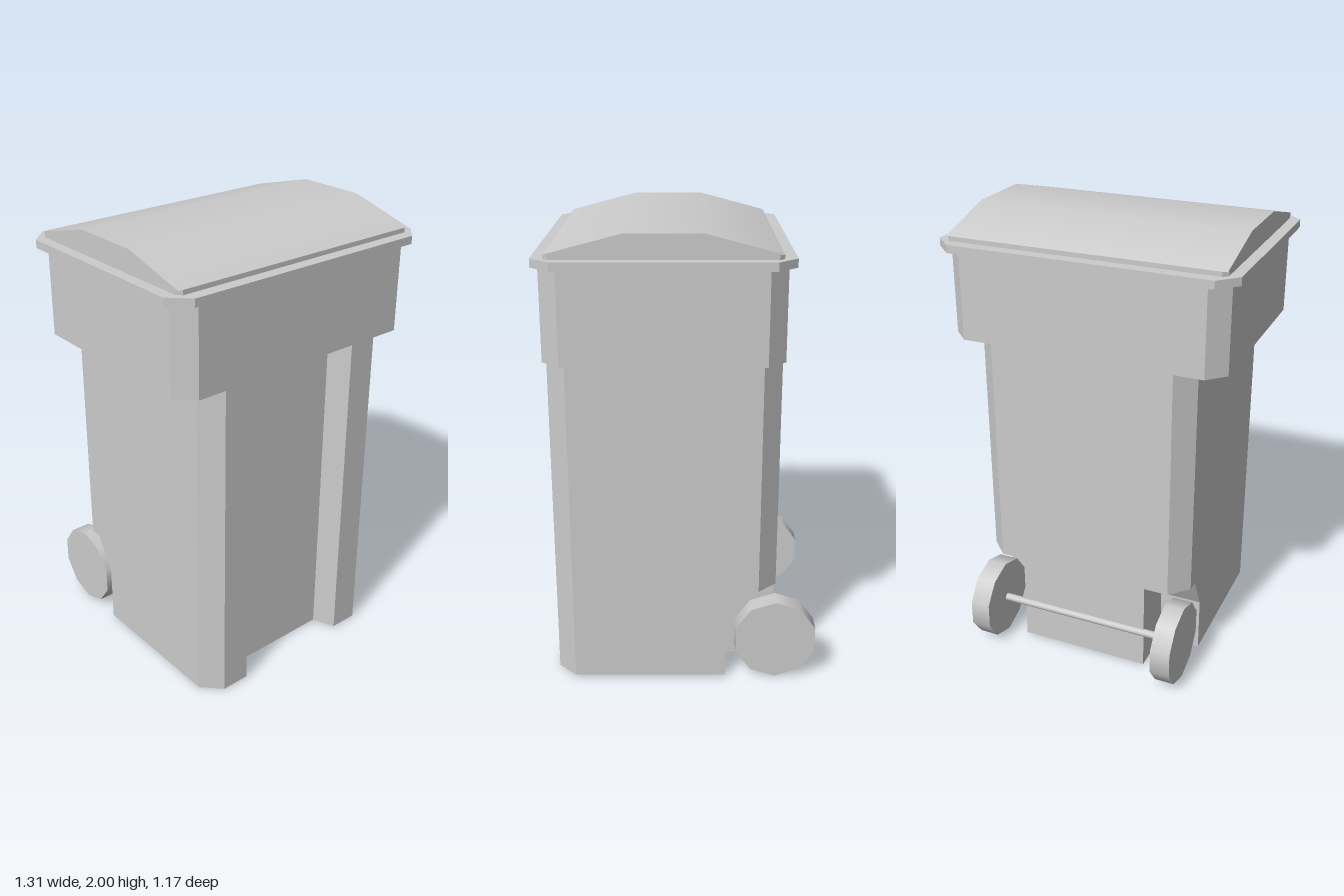
import * as THREE from 'three';
import { mergeGeometries } from 'three/addons/utils/BufferGeometryUtils.js';

const solid = new THREE.MeshStandardMaterial({ color: 0xcccccc });
const sheet = new THREE.MeshStandardMaterial({ color: 0xcccccc, side: THREE.DoubleSide });

const BOTTOM = 0.005, LEDGE = 1.48, RIM = 1.865;
const FRONT = 0.56, BACK = -0.41, CUT = 0.08;

// Flat polygon from 3D corner points, triangulated on its widest plane
function panel(points) {
  const v = points.map(p => new THREE.Vector3(...p));
  const n = new THREE.Vector3();
  v.forEach((a, i) => n.add(a.clone().cross(v[(i + 1) % v.length])));
  const m = n.toArray().map(Math.abs);
  const drop = m.indexOf(Math.max(...m));
  const flat = points.map(p => new THREE.Vector2(...p.filter((_, i) => i !== drop)));
  const corners = THREE.ShapeUtils.triangulateShape(flat, []).flat().map(i => v[i]);
  const g = new THREE.BufferGeometry().setFromPoints(corners);
  g.computeVertexNormals();
  return g;
}

// Upright wall between two plan points [x, z]
const wall = (a, b, y0, y1) =>
  panel([[a[0], y0, a[1]], [b[0], y0, b[1]], [b[0], y1, b[1]], [a[0], y1, a[1]]]);

// Plan of a rectangle with cut corners
const cutRect = (x, z0, z1, c) => [
  [x - c, z1], [x, z1 - c], [x, z0 + c], [x - c, z0],
  [-x + c, z0], [-x, z0 + c], [-x, z1 - c], [-x + c, z1],
];

// Solid slab from a plan
function slab(plan, y0, y1) {
  const shape = new THREE.Shape(plan.map(([x, z]) => new THREE.Vector2(x, -z)));
  const g = new THREE.ExtrudeGeometry(shape, { depth: y1 - y0, bevelEnabled: false });
  return g.rotateX(-Math.PI / 2).translate(0, y0, 0);
}

function add(group, name, geometry, material = solid) {
  const mesh = new THREE.Mesh(geometry, material);
  mesh.name = name;
  group.add(mesh);
  return mesh;
}

// Hollow lower body: front groove, cut corners and wheel notches at the back
function lowerBody() {
  const x = 0.49, xi = x - CUT, nx = 0.3, ny = 0.425;
  const notch = [[-0.19, BOTTOM], [-0.19, 0.26], [-0.275, ny]];
  const parts = [wall([-0.24, 0.46], [0.24, 0.46], BOTTOM, LEDGE)];
  for (const s of [1, -1]) {
    parts.push(
      wall([s * 0.24, 0.46], [s * 0.28, FRONT], BOTTOM, LEDGE),
      wall([s * 0.28, FRONT], [s * xi, FRONT], BOTTOM, LEDGE),
      wall([s * xi, FRONT], [s * x, FRONT - CUT], BOTTOM, LEDGE),
      wall([s * x, BACK + CUT], [s * xi, BACK], ny, LEDGE),
      // side wall following the notch
      panel([[FRONT - CUT, BOTTOM], ...notch, [BACK + CUT, ny], [BACK + CUT, LEDGE], [FRONT - CUT, LEDGE]]
        .map(([z, y]) => [s * x, y, z])),
      // inner side of the notch
      panel([...notch, [BACK, ny], [BACK, BOTTOM]].map(([z, y]) => [s * nx, y, z])),
      // roof of the notch
      panel([[nx, -0.275], [x, -0.275], [x, BACK + CUT], [xi, BACK], [nx, BACK]]
        .map(([px, z]) => [s * px, ny, z])),
    );
    // front faces of the notch
    for (let i = 0; i < 2; i++) {
      const [[z0, y0], [z1, y1]] = [notch[i], notch[i + 1]];
      parts.push(panel([[s * nx, y0, z0], [s * x, y0, z0], [s * x, y1, z1], [s * nx, y1, z1]]));
    }
  }
  parts.push(panel([[-nx, BOTTOM], [nx, BOTTOM], [nx, ny], [xi, ny], [xi, LEDGE], [-xi, LEDGE], [-xi, ny], [-nx, ny]]
    .map(([px, y]) => [px, y, BACK])));
  return mergeGeometries(parts);
}

// Wider upper body with ledges beneath
function upperBody() {
  const x = 0.615, c = 0.075;
  const plan = cutRect(x, BACK, FRONT, c);
  const parts = plan.map((p, i) => wall(p, plan[(i + 1) % plan.length], LEDGE, RIM));
  for (const s of [1, -1]) {
    parts.push(panel([
      [0.41, FRONT], [x - c, FRONT], [x, FRONT - c], [x, BACK + c], [x - c, BACK],
      [0.41, BACK], [0.49, BACK + CUT], [0.49, FRONT - CUT],
    ].map(([px, z]) => [s * px, LEDGE, z])));
  }
  parts.push(panel([[-0.28, FRONT], [0.28, FRONT], [0.24, 0.46], [-0.24, 0.46]]
    .map(([px, z]) => [px, LEDGE, z])));
  return mergeGeometries(parts);
}

// Curved lid top: a shallow three-sided arc with flat ends
function lidDome(group) {
  const r = 1.2124, half = 0.387, w = 0.607, cz = 0.0725, cy = 2 - 1.2028;
  const arc = new THREE.CylinderGeometry(r, r, w * 2, 3, 1, true, Math.PI / 2 - half, half * 2);
  add(group, 'lidTop', arc.rotateZ(Math.PI / 2).translate(0, cy, cz), sheet);
  const profile = [-3, -1, 1, 3].map(k => {
    const a = k * half / 3;
    return [cy + r * Math.cos(a), cz + r * Math.sin(a)];
  });
  add(group, 'lidEnds', mergeGeometries([w, -w].map(x => panel(profile.map(([y, z]) => [x, y, z])))), sheet);
}

export function createModel() {
  const model = new THREE.Group();
  model.name = 'wheeledBin';

  add(model, 'lowerBody', lowerBody(), sheet);
  add(model, 'upperBody', upperBody(), sheet);

  const lid = new THREE.Group();
  lid.name = 'lid';
  model.add(lid);
  add(lid, 'lidRim', slab(cutRect(0.655, -0.44, 0.585, CUT), RIM, 1.9));
  add(lid, 'lidStep', slab(cutRect(0.607, -0.387, 0.532, 0.02), 1.9, 1.92));
  lidDome(lid);

  // Wheels and axle
  const wheelY = 0.185, wheelZ = -0.409;
  for (const [name, s] of [['leftWheel', 1], ['rightWheel', -1]]) {
    const wheel = new THREE.CylinderGeometry(0.185, 0.185, 0.09, 10, 1, false, Math.PI / 2);
    add(model, name, wheel.rotateZ(Math.PI / 2)).position.set(s * 0.445, wheelY, wheelZ);
  }
  const axle = new THREE.CylinderGeometry(0.018, 0.018, 0.82, 10).rotateZ(Math.PI / 2);
  add(model, 'axle', axle).position.set(0, wheelY, wheelZ);

  return model;
}
